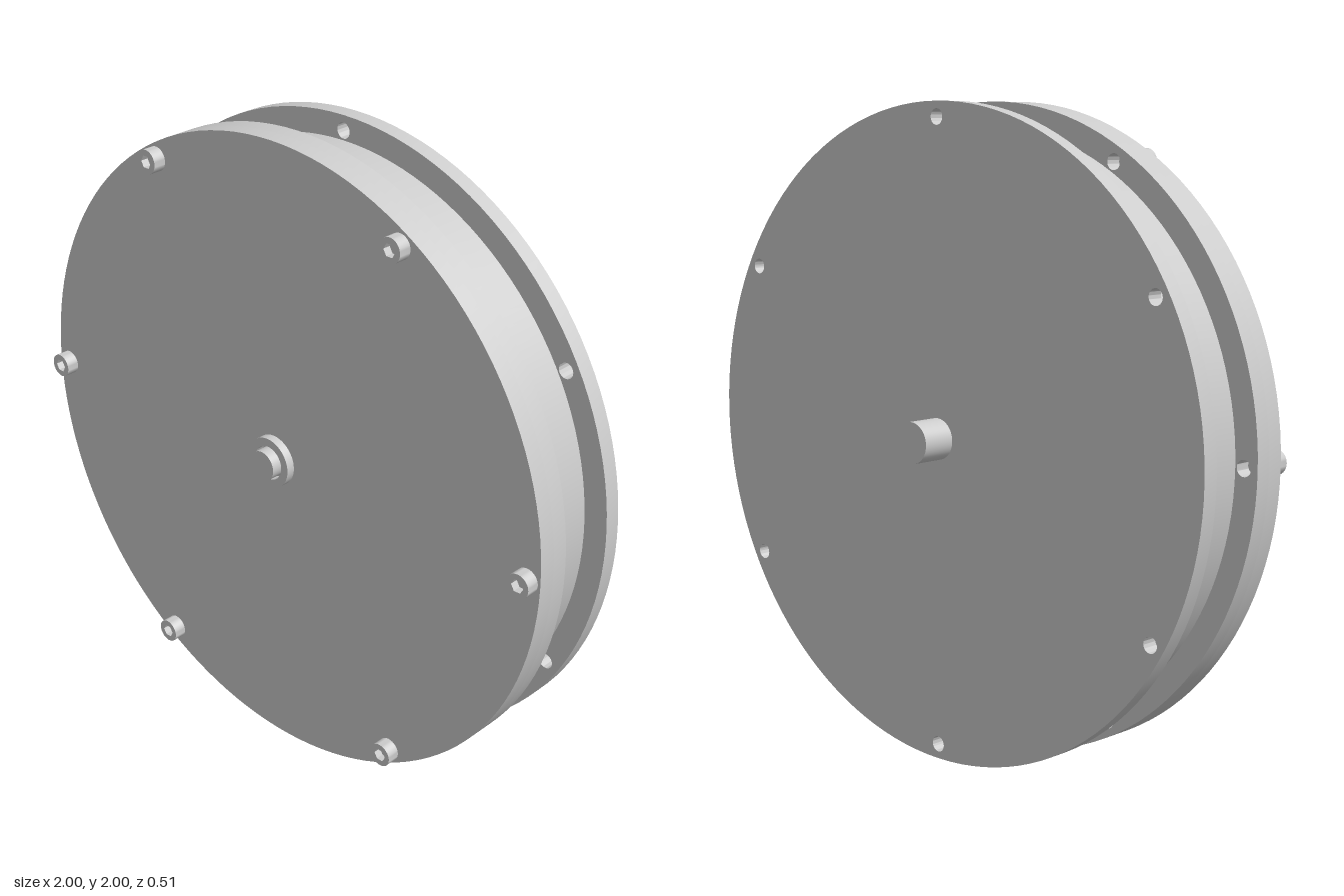
import * as THREE from 'three';
import { toCreasedNormals } from 'three/addons/utils/BufferGeometryUtils.js';

const BOLT_CIRCLE = 0.954;

export function createModel() {
  const model = new THREE.Group();
  model.name = 'flangedReel';
  const material = new THREE.MeshStandardMaterial({ color: 0xcccccc });

  const add = (parent, name, geometry) => {
    const mesh = new THREE.Mesh(geometry, material);
    mesh.name = name;
    parent.add(mesh);
    return mesh;
  };

  // Six points on the bolt circle, starting at a given angle
  const ring = (start) => Array.from({ length: 6 }, (_, i) => {
    const a = start + (i * Math.PI) / 3;
    return new THREE.Vector2(Math.cos(a), Math.sin(a)).multiplyScalar(BOLT_CIRCLE);
  });

  const circle = (Type, r, c = new THREE.Vector2()) =>
    new Type().absarc(c.x, c.y, r, 0, Math.PI * 2, false);

  // Round plate from z0 to z1 with any holes cut through it
  const plate = (r, z0, z1, holes = [], curveSegments = 64) => {
    const shape = circle(THREE.Shape, r);
    shape.holes.push(...holes);
    const g = new THREE.ExtrudeGeometry(shape, { depth: z1 - z0, bevelEnabled: false, curveSegments });
    return toCreasedNormals(g.translate(0, 0, z0), 0.6);
  };

  // Round bar along z
  const bar = (r, z0, z1, open = false, segments = 48) =>
    new THREE.CylinderGeometry(r, r, z1 - z0, segments, 1, open)
      .rotateX(Math.PI / 2).translate(0, 0, (z0 + z1) / 2);

  const body = new THREE.Group();
  body.name = 'reelBody';
  body.position.y = 1;
  model.add(body);

  // Spool: drum between two drilled flanges
  const drill = (start) => ring(start).map((p) => circle(THREE.Path, 0.024, p));
  add(body, 'drum', bar(0.925, -0.092, 0.092, true, 128));
  add(body, 'backFlange', plate(1, -0.145, -0.092, drill(Math.PI / 6)));
  add(body, 'frontFlange', plate(1, 0.092, 0.145, drill(0)));

  // Cover plate on the front flange
  add(body, 'coverPlate', plate(1, 0.145, 0.2));

  // Axle: thick stub at the back, thin end in a collar at the front
  add(body, 'backShaft', bar(0.063, -0.254, -0.145));
  add(body, 'frontShaft', bar(0.047, 0.2, 0.254));
  add(body, 'frontCollar', plate(0.08, 0.2, 0.227, [circle(THREE.Path, 0.054)], 24));

  // Socket-head bolts around the cover
  const hex = new THREE.Path(Array.from({ length: 6 }, (_, i) =>
    new THREE.Vector2(Math.cos((i * Math.PI) / 3), Math.sin((i * Math.PI) / 3)).multiplyScalar(0.021)));
  hex.closePath();
  const headGeometry = plate(0.0375, 0.2, 0.241, [hex], 16);
  const floorGeometry = bar(0.023, 0.2, 0.216, false, 24);
  ring(0).forEach((p) => {
    const bolt = new THREE.Group();
    bolt.name = 'coverBolt';
    bolt.position.set(p.x, p.y, 0);
    add(bolt, 'boltHead', headGeometry);
    add(bolt, 'socketFloor', floorGeometry);
    body.add(bolt);
  });

  return model;
}
